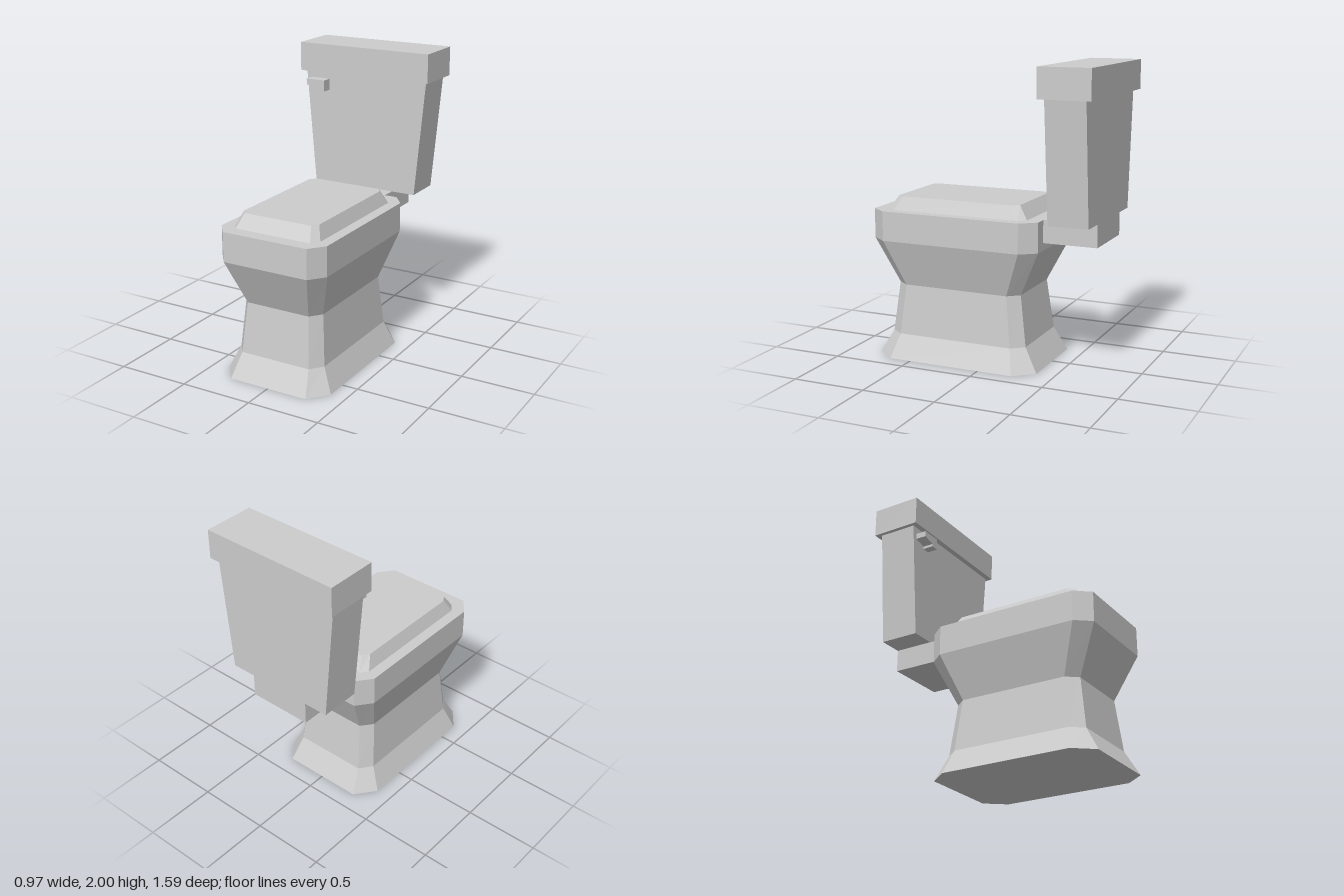
import * as THREE from 'three';

// One ring: half width, half width of the front edge, back and front z, back and front z of the side edge
const ring = ([y, x, fx, z0, z1, s0, s1]) => [
  [fx, z1], [x, s1], [x, s0], [fx, z0], [-fx, z0], [-x, s0], [-x, s1], [-fx, z1],
].map(([px, pz]) => new THREE.Vector3(px, y, pz));

// Flat-faced solid through a stack of chamfered rectangles, bottom to top
function loft(levels) {
  const rings = levels.map(ring);
  const points = [];
  const n = 8;
  for (let k = 0; k < rings.length - 1; k++) {
    const lo = rings[k], hi = rings[k + 1];
    for (let i = 0; i < n; i++) {
      const j = (i + 1) % n;
      points.push(lo[i], lo[j], hi[j], lo[i], hi[j], hi[i]);
    }
  }
  const bottom = rings[0], top = rings[rings.length - 1];
  for (let i = 1; i < n - 1; i++) {
    points.push(top[0], top[i], top[i + 1], bottom[0], bottom[i + 1], bottom[i]);
  }
  const geometry = new THREE.BufferGeometry().setFromPoints(points);
  geometry.computeVertexNormals();
  return geometry;
}

// Box given by its limits
function box(x0, x1, y0, y1, z0, z1) {
  return new THREE.BoxGeometry(x1 - x0, y1 - y0, z1 - z0)
    .translate((x0 + x1) / 2, (y0 + y1) / 2, (z0 + z1) / 2);
}

// Outline in x and y, extruded from z0 to z1
function slab(outline, z0, z1) {
  const shape = new THREE.Shape(outline.map(([x, y]) => new THREE.Vector2(x, y)));
  return new THREE.ExtrudeGeometry(shape, { depth: z1 - z0, bevelEnabled: false }).translate(0, 0, z0);
}

export function createModel() {
  const model = new THREE.Group();
  model.name = 'toilet';
  const porcelain = new THREE.MeshStandardMaterial({ color: 0xcccccc, flatShading: true });
  porcelain.name = 'porcelain';
  const add = (name, geometry) => {
    const mesh = new THREE.Mesh(geometry, porcelain);
    mesh.name = name;
    model.add(mesh);
  };

  // Flared foot, waist and bowl rim
  add('bowl', loft([
    [0, 0.39, 0.283, -0.375, 0.783, -0.24, 0.65],
    [0.16, 0.318, 0.252, -0.285, 0.692, -0.2, 0.607],
    [0.5, 0.29, 0.228, -0.24, 0.65, -0.163, 0.572],
    [0.81, 0.387, 0.305, -0.39, 0.795, -0.285, 0.69],
    [1.01, 0.387, 0.305, -0.39, 0.795, -0.285, 0.69],
  ]));

  // Closed seat lid with sloped edges
  add('seatLid', loft([
    [1.01, 0.313, 0.273, -0.3, 0.7, -0.25, 0.645],
    [1.1, 0.276, 0.245, -0.24, 0.64, -0.195, 0.595],
  ]));

  // Block joining bowl and tank
  add('neck', box(-0.22, 0.22, 0.86, 1.012, -0.755, -0.385));

  // Tapered tank, its cover and the flush lever
  add('tank', slab([[-0.388, 1.012], [0.388, 1.012], [0.46, 1.805], [-0.46, 1.805]], -0.755, -0.485));
  add('tankCover', box(-0.487, 0.487, 1.803, 2, -0.795, -0.447));
  add('flushLever', slab([
    [-0.42, 1.755], [-0.42, 1.715], [-0.335, 1.695], [-0.335, 1.677], [-0.28, 1.677], [-0.28, 1.755],
  ], -0.487, -0.41));

  return model;
}
